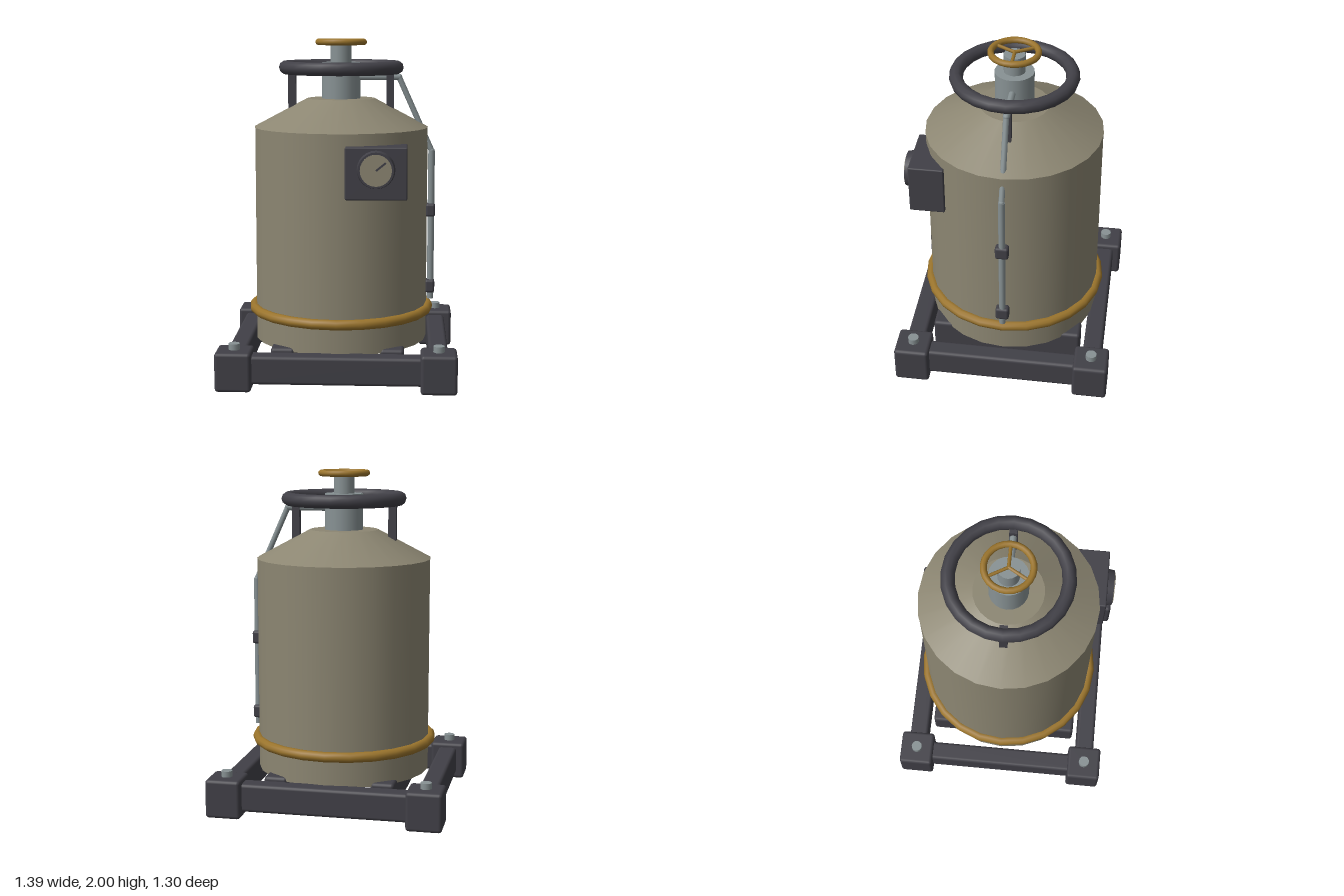
import * as THREE from 'three';
import { RoundedBoxGeometry } from 'three/addons/geometries/RoundedBoxGeometry.js';

const material = (name, color) => {
  const m = new THREE.MeshStandardMaterial({ color });
  m.name = name;
  return m;
};

export function createModel() {
  const model = new THREE.Group();
  model.name = 'pressureTank';
  const olive = material('olive paint', 0x8c8672);
  const dark = material('dark iron', 0x414047);
  const gold = material('ochre paint', 0x9a742c);
  const steel = material('steel', 0x889294);

  const add = (name, geometry, mat, x = 0, y = 0, z = 0, parent = model) => {
    const mesh = new THREE.Mesh(geometry, mat);
    mesh.name = name;
    mesh.position.set(x, y, z);
    parent.add(mesh);
    return mesh;
  };
  const block = (w, h, d, r = 0.02) => new RoundedBoxGeometry(w, h, d, 2, r);
  const ring = (name, radius, tube, y, mat) => {
    const mesh = add(name, new THREE.TorusGeometry(radius, tube, 10, 24), mat, 0, y, 0);
    mesh.rotation.x = Math.PI / 2;
    return mesh;
  };
  // Round bar between two points
  const bar = (name, a, b, radius, mat, sides = 8) => {
    const from = new THREE.Vector3(...a), to = new THREE.Vector3(...b);
    const dir = to.clone().sub(from);
    const mesh = add(name, new THREE.CylinderGeometry(radius, radius, dir.length(), sides), mat);
    mesh.position.copy(from).add(to).multiplyScalar(0.5);
    mesh.quaternion.setFromUnitVectors(new THREE.Vector3(0, 1, 0), dir.normalize());
    return mesh;
  };

  // Base frame: corner blocks with bolts, side rails and cross runners
  for (const sx of [-1, 1]) {
    for (const sz of [-1, 1]) {
      add('cornerBlock', block(0.21, 0.23, 0.21), dark, sx * 0.59, 0.115, sz * 0.547);
      add('cornerBolt', new THREE.CylinderGeometry(0.033, 0.033, 0.05, 12), steel, sx * 0.59, 0.24, sz * 0.547);
    }
    add('sideRail', block(0.115, 0.168, 1.0), dark, sx * 0.59, 0.118, 0);
    add('endRail', block(1.08, 0.168, 0.115), dark, 0, 0.118, sx * 0.547);
    add('runner', block(0.14, 0.184, 0.92), dark, sx * 0.32, 0.121, 0);
  }

  // Tank body and sloped shoulder
  add('tankBody', new THREE.CylinderGeometry(0.522, 0.522, 1.285, 24), olive, 0, 0.8325, 0);
  add('tankShoulder', new THREE.CylinderGeometry(0.205, 0.525, 0.17, 24), olive, 0, 1.56, 0);
  ring('bumperRing', 0.532, 0.03, 0.375, gold);

  // Neck and valve stem
  add('neck', new THREE.CylinderGeometry(0.115, 0.115, 0.23, 20), steel, 0, 1.745, 0);
  add('valveStem', new THREE.CylinderGeometry(0.063, 0.063, 0.13, 16), steel, 0, 1.905, 0);

  // Guard ring on two posts
  ring('guardRing', 0.335, 0.04, 1.83, dark);
  for (const sx of [-1, 1]) {
    add('guardPost', new THREE.BoxGeometry(0.046, 0.28, 0.046), dark, sx * 0.295, 1.68, 0);
  }

  // Valve handwheel with three spokes
  ring('handwheelRim', 0.136, 0.019, 1.981, gold);
  for (let i = 0; i < 3; i++) {
    const a = (i * Math.PI * 2) / 3;
    bar('handwheelSpoke', [0, 1.981, 0], [Math.cos(a) * 0.136, 1.981, Math.sin(a) * 0.136], 0.01, gold, 6);
  }

  // Pipe from the neck down the left side of the tank
  const path = [[0.1, 1.773, 0], [0.348, 1.773, 0], [0.547, 1.33, 0], [0.547, 0.42, 0]];
  for (let i = 0; i < path.length - 1; i++) bar('pipe', path[i], path[i + 1], i === 1 ? 0.017 : 0.02, steel);
  for (const p of path.slice(1, 3)) add('pipeElbow', new THREE.SphereGeometry(0.019, 8, 6), steel, ...p);
  for (const y of [0.5, 0.97]) add('pipeClamp', block(0.058, 0.08, 0.08, 0.015), dark, 0.543, y, 0);

  // Gauge housing, bezel, dial and needle
  const gauge = new THREE.Group();
  gauge.name = 'gauge';
  gauge.position.set(0.225, 1.28, 0);
  model.add(gauge);
  add('gaugeHousing', block(0.352, 0.3, 0.207, 0.008), dark, 0, -0.024, 0.46, gauge);
  const bezel = add('gaugeBezel', new THREE.CylinderGeometry(0.102, 0.11, 0.045, 24), dark, 0, 0, 0.58, gauge);
  const dial = add('gaugeDial', new THREE.CylinderGeometry(0.09, 0.09, 0.006, 24), olive, 0, 0, 0.604, gauge);
  bezel.rotation.x = dial.rotation.x = Math.PI / 2;
  const needle = add('gaugeNeedle', new THREE.BoxGeometry(0.072, 0.011, 0.006), dark, 0.028, 0.022, 0.609, gauge);
  needle.rotation.z = 0.68;

  return model;
}
